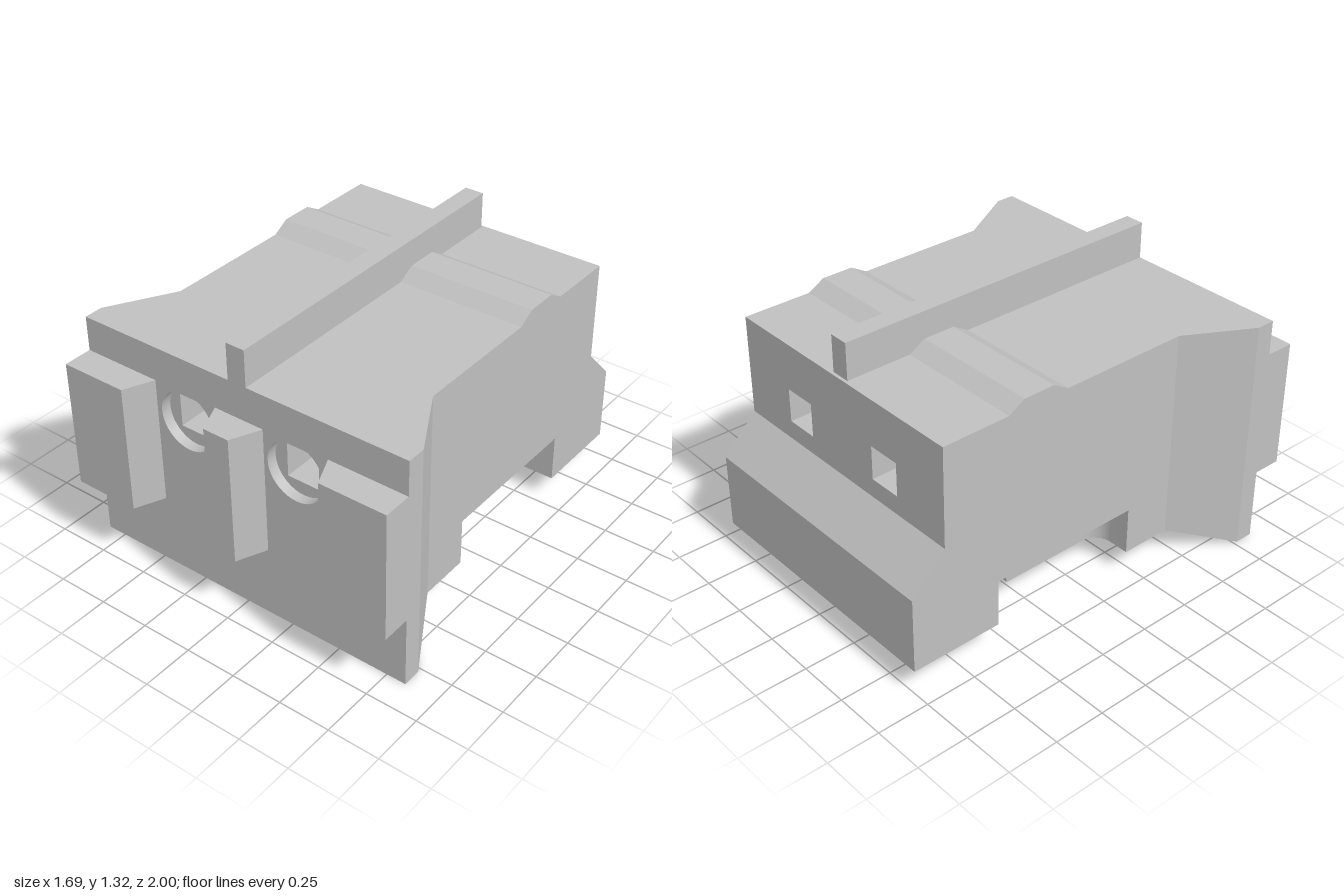
import * as THREE from 'three';
import { toCreasedNormals } from 'three/addons/utils/BufferGeometryUtils.js';
import { ConvexGeometry } from 'three/addons/geometries/ConvexGeometry.js';

export function createModel() {
  const model = new THREE.Group();
  model.name = 'slottedHousing';
  const grey = new THREE.MeshStandardMaterial({ color: 0xc0c0c0 });
  grey.name = 'plain grey';

  const add = (name, geometry) => {
    const mesh = new THREE.Mesh(geometry, grey);
    mesh.name = name;
    model.add(mesh);
  };
  const polygon = (points) => new THREE.Shape(points.map(([a, b]) => new THREE.Vector2(a, b)));
  const mirrored = (points) => [...points, ...points.map(([x, z]) => [-x, z]).reverse()];
  const extrude = (shape, depth) =>
    new THREE.ExtrudeGeometry(shape, { depth, bevelEnabled: false, curveSegments: 20 });
  // plan outline (x, z) raised from y0 to y1
  const fromPlan = (shape, y0, y1) => extrude(shape, y1 - y0).rotateX(Math.PI / 2).translate(0, y1, 0);
  // front outline (x, y) swept from z0 to z1
  const fromFront = (shape, z0, z1) => extrude(shape, z1 - z0).translate(0, 0, z0);
  // side outline (z, y) swept across x
  const fromSide = (points, x0, x1) =>
    extrude(polygon(points.map(([z, y]) => [-z, y])), x1 - x0).rotateY(Math.PI / 2).translate(x0, 0, 0);
  const rectangle = (x0, x1, y0, y1) => polygon([[x0, y0], [x1, y0], [x1, y1], [x0, y1]]);

  const W = 0.67, F = 0.845;          // half widths of body and flared front
  const FRONT = 0.86, BACK = -0.83, PLATE = 0.81;
  const BASE = 0.12, FLOOR = 0.35, TOP = 1.14;
  const holeX = 0.29, holeY = 0.832;

  // Front plate with round recesses
  const plate = rectangle(-F, F, BASE, TOP);
  const core = rectangle(-W, W, FLOOR, TOP);
  for (const s of [-1, 1]) {
    const round = new THREE.Path();
    round.absarc(s * holeX, holeY, 0.144, 0, Math.PI * 2, true);
    plate.holes.push(round);
    core.holes.push(rectangle(s * holeX - 0.081, s * holeX + 0.081, holeY - 0.081, holeY + 0.081));
  }
  add('frontPlate', toCreasedNormals(fromFront(plate, PLATE, FRONT), 0.6));

  // Main body with square through holes
  add('mainBody', fromFront(core, BACK, PLATE));

  // Flared cheeks behind the front plate
  for (const s of [-1, 1]) {
    const cheek = polygon([[W, 0.46], [F, 0.77], [F, PLATE], [W, PLATE]].map(([x, z]) => [s * x, z]));
    add(s > 0 ? 'leftCheek' : 'rightCheek', fromPlan(cheek, BASE, TOP));
  }

  // Wedge-shaped skirt under the front
  const skirt = [];
  for (const s of [-1, 1]) {
    for (const [x, y, z] of [[F, 0, FRONT], [F, 0, 0.77], [F, BASE, FRONT], [F, BASE, 0.77], [W, BASE, 0.46]]) {
      skirt.push(new THREE.Vector3(s * x, y, z));
    }
  }
  add('frontSkirt', new ConvexGeometry(skirt));

  // Underside with three rounded slots, leaving two tongues
  const slotEnd = 0.21, tongueEnd = -0.335, r = 0.09, inner = 0.1, outer = 0.48;
  const under = new THREE.Shape();
  under.moveTo(-W, PLATE);
  under.lineTo(W, PLATE);
  under.lineTo(W, slotEnd);
  under.lineTo(outer + r, slotEnd);
  under.absarc(outer + r, slotEnd - r, r, Math.PI / 2, Math.PI, false);
  under.lineTo(outer, tongueEnd);
  under.lineTo(inner, tongueEnd);
  under.lineTo(inner, slotEnd - inner);
  under.absarc(0, slotEnd - inner, inner, 0, Math.PI, false);
  under.lineTo(-inner, tongueEnd);
  under.lineTo(-outer, tongueEnd);
  under.lineTo(-outer, slotEnd - r);
  under.absarc(-outer - r, slotEnd - r, r, 0, Math.PI / 2, false);
  under.lineTo(-W, slotEnd);
  const underside = fromPlan(under, BASE, FLOOR);
  const p = underside.attributes.position;
  for (let i = 0; i < p.count; i++) {   // lean the tongue ends backwards
    if (p.getZ(i) < -0.3 && p.getY(i) > 0.3) p.setZ(i, -0.372);
  }
  underside.computeVertexNormals();
  add('slottedUnderside', toCreasedNormals(underside, 0.6));

  // Rear foot with two notches open to the cross channel
  add('rearFoot', fromPlan(polygon(mirrored([
    [W, -1], [W, -0.55], [0.4, -0.55], [0.4, BACK], [0.18, BACK], [0.18, -0.55],
  ])), BASE, FLOOR));

  // Sloped rear ledge
  add('rearLedge', fromSide([[BACK, FLOOR], [BACK, 0.66], [-1, 0.485], [-1, FLOOR]], -W, W));

  // Raised cross ridge and long rib on the roof
  add('roofRidge', fromSide([[-0.18, TOP], [-0.26, 1.186], [-0.415, 1.186], [-0.495, TOP]], -W, W));
  add('roofRib', fromFront(rectangle(-0.047, 0.047, TOP, 1.316), -0.815, FRONT));

  // Front guide blocks with bevelled sides
  const blockY = 0.973;
  add('centreBlock', fromPlan(polygon(mirrored([[0.127, FRONT], [0.065, 1]])), FLOOR, blockY));
  for (const s of [-1, 1]) {
    const block = polygon([[0.458, FRONT], [F, FRONT], [F, 1], [0.52, 1]].map(([x, z]) => [s * x, z]));
    add(s > 0 ? 'leftBlock' : 'rightBlock', fromPlan(block, FLOOR, blockY));
  }
  return model;
}
